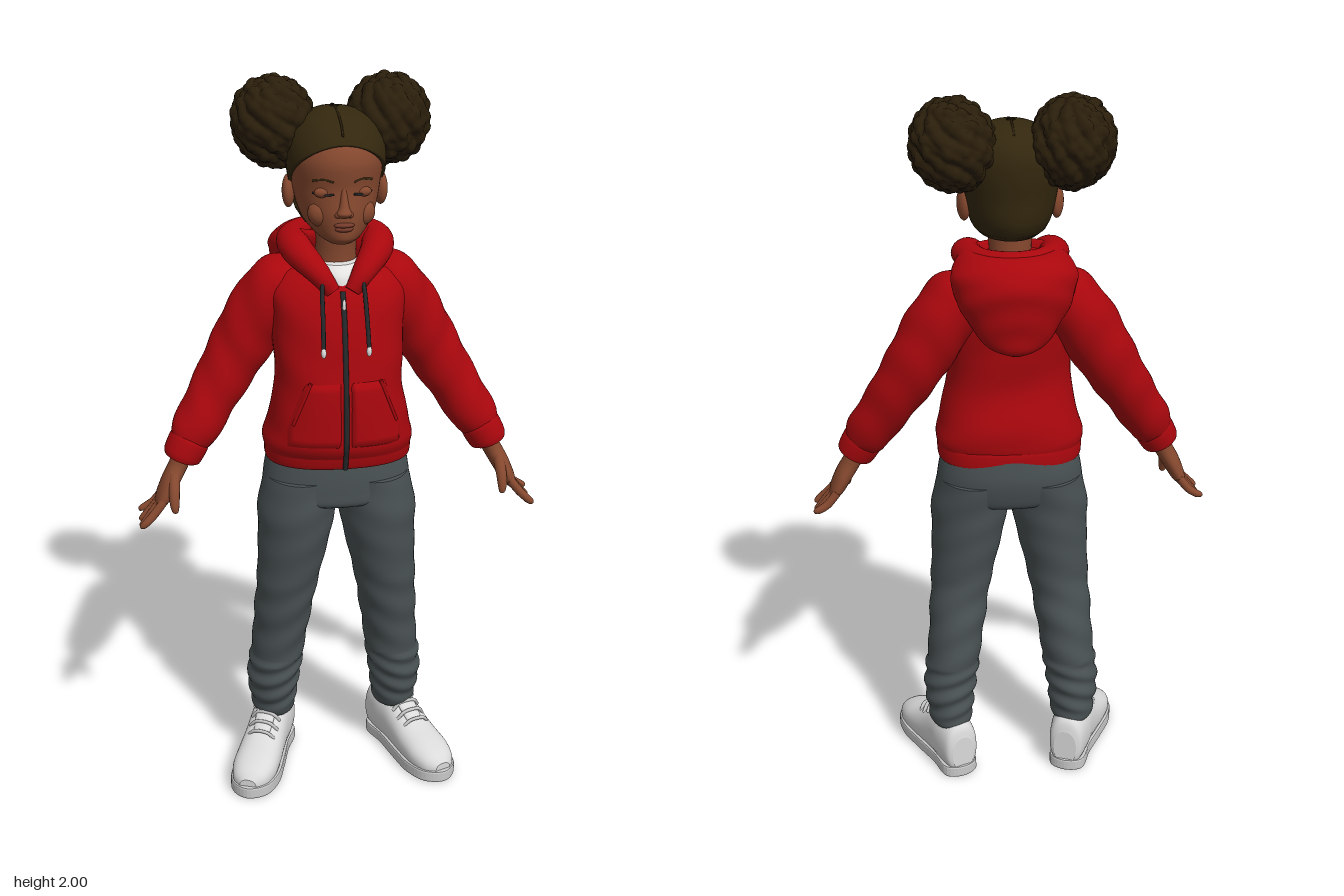
import * as THREE from 'three';

const mat = (name, color, double) => {
  const m = new THREE.MeshStandardMaterial({ color });
  m.name = name;
  if (double) m.side = THREE.DoubleSide;
  return m;
};
const M = {
  skin: mat('skin', 0x87492f), lips: mat('lips', 0x743a2b), hair: mat('hair', 0x33270e, true),
  curls: mat('curls', 0x2a1e0b), red: mat('red cloth', 0xa9070d, true), dark: mat('dark trim', 0x25282a),
  grey: mat('grey cloth', 0x4a5254), white: mat('white leather', 0xdadada), sole: mat('sole', 0xc9c9c9),
  shirt: mat('shirt', 0xe4e2e0),
};
const lerp = THREE.MathUtils.lerp;
const V = (x, y, z) => new THREE.Vector3(x, y, z);
const Y = V(0, 1, 0), Z = V(0, 0, 1);

// Smoothly interpolate rows of numbers (Catmull-Rom on every column)
function sample(rows, n) {
  const out = [], R = i => rows[Math.max(0, Math.min(rows.length - 1, i))];
  for (let i = 0; i < rows.length - 1; i++)
    for (let k = 0; k < n; k++) {
      const t = k / n, a = R(i - 1), b = R(i), c = R(i + 1), d = R(i + 2);
      out.push(b.map((q, j) => 0.5 * (2 * q + (c[j] - a[j]) * t + (2 * a[j] - 5 * q + 4 * c[j] - d[j]) * t * t
        + (3 * q - a[j] - 3 * c[j] + d[j]) * t * t * t)));
    }
  out.push(rows[rows.length - 1]);
  return out;
}
// Row at a given height of a vertical set of rows
function rowAt(dense, y) {
  let i = 0;
  while (i < dense.length - 2 && dense[i + 1][1] < y) i++;
  const a = dense[i], b = dense[i + 1];
  const t = THREE.MathUtils.clamp((y - a[1]) / (b[1] - a[1]), 0, 1);
  return a.map((q, j) => lerp(q, b[j], t));
}
// Surface through a grid of points, optionally closed around and capped
function surface(P, closed, caps) {
  const n = P.length, m = P[0].length, pos = [], idx = [];
  P.forEach(r => r.forEach(p => pos.push(p.x, p.y, p.z)));
  for (let i = 0; i < n - 1; i++)
    for (let j = 0; j < (closed ? m : m - 1); j++) {
      const k = (j + 1) % m, a = i * m + j, b = a + m, c = i * m + k, d = c + m;
      idx.push(a, b, c, c, b, d);
    }
  if (caps) [P[0], P[n - 1]].forEach((ring, end) => {
    const c = ring.reduce((s, p) => s.add(p), V(0, 0, 0)).divideScalar(m), o = pos.length / 3;
    [c, ...ring].forEach(p => pos.push(p.x, p.y, p.z));
    for (let j = 0; j < m; j++) {
      const p = o + 1 + j, q = o + 1 + (j + 1) % m;
      end ? idx.push(o, q, p) : idx.push(o, p, q);
    }
  });
  const g = new THREE.BufferGeometry();
  g.setAttribute('position', new THREE.Float32BufferAttribute(pos, 3));
  g.setIndex(idx);
  g.computeVertexNormals();
  return g;
}
// Loft through rows [x, y, z, radiusA, radiusB]; axis fixes the ring plane, bump adds folds
function loft(rows, { n = 6, seg = 32, p = 2, axis = null, ref = Z, bump = null } = {}) {
  const D = sample(rows, n), C = D.map(r => V(r[0], r[1], r[2]));
  return surface(D.map((r, i) => {
    const T = axis ? axis.clone() : C[Math.min(i + 1, C.length - 1)].clone().sub(C[Math.max(i - 1, 0)]).normalize();
    const B = ref.clone().addScaledVector(T, -T.dot(ref)).normalize(), A = T.clone().cross(B);
    return Array.from({ length: seg }, (_, j) => {
      const th = j / seg * Math.PI * 2, c = Math.cos(th), s = Math.sin(th);
      const k = bump ? 1 + bump(r, c, s) : 1, e = q => Math.sign(q) * Math.abs(q) ** (2 / p) * k;
      return C[i].clone().addScaledVector(A, r[3] * e(c)).addScaledVector(B, r[4] * e(s));
    });
  }), true, true);
}

const HEAD = sample([[0, 1.595, .09, .03, .04], [0, 1.61, .065, .056, .088], [0, 1.64, .027, .086, .13],
  [0, 1.68, .015, .104, .143], [0, 1.74, .01, .116, .143], [0, 1.8, .01, .123, .15], [0, 1.85, .003, .114, .14],
  [0, 1.89, -.005, .087, .107], [0, 1.912, -.01, .045, .055], [0, 1.919, -.01, .004, .005]], 6);
const TORSO_P = 2.4;
const TORSO_ROWS = [[0, 1.02, .04, .2, .148], [0, 1.05, .044, .205, .158], [0, 1.1, .046, .192, .158],
  [0, 1.2, .057, .172, .143], [0, 1.3, .047, .174, .138], [0, 1.4, .03, .18, .134], [0, 1.46, .015, .18, .124],
  [0, 1.5, 0, .15, .106], [0, 1.515, -.01, .1, .075]];
const TORSO = sample(TORSO_ROWS, 6);
const onEllipse = (D, x, y, p) => {
  const r = rowAt(D, y);
  return r[2] + r[4] * Math.max(0, 1 - Math.abs(x / r[3]) ** p) ** (1 / p);
};
const faceZ = (x, y) => onEllipse(HEAD, x, y, 2), chestZ = (x, y) => onEllipse(TORSO, x, y, TORSO_P);

// Ball of curls: clumps spread over a sphere
function curlBall() {
  const g = new THREE.SphereGeometry(1, 80, 56), q = g.attributes.position, N = 170, c = [];
  for (let i = 0; i < N; i++) {
    const y = 1 - 2 * (i + .5) / N, r = Math.sqrt(1 - y * y), a = i * 2.39996 + Math.sin(i * 7.3) * .15;
    c.push(V(r * Math.cos(a), y, r * Math.sin(a)));
  }
  for (let i = 0; i < q.count; i++) {
    const v = V(q.getX(i), q.getY(i), q.getZ(i));
    let best = 9, id = 0;
    c.forEach((o, k) => { const d = o.distanceTo(v); if (d < best) { best = d; id = k; } });
    v.multiplyScalar(1.01 - best * best * 2.6 + .025 * Math.sin(id * 5.1));
    q.setXYZ(i, v.x, v.y, v.z);
  }
  g.computeVertexNormals();
  return g;
}

export function createModel() {
  const root = new THREE.Group();
  root.name = 'child';
  const add = (name, geo, m, parent = root) => {
    const o = new THREE.Mesh(geo, m);
    o.name = name;
    parent.add(o);
    return o;
  };
  const ball = (name, m, pos, scale) => {
    const o = add(name, new THREE.SphereGeometry(1, 24, 16), m);
    o.position.set(...pos);
    o.scale.set(...scale);
    return o;
  };
  const cord = (name, m, pts, r, parent) => add(name, loft(pts.map(p => [...p, r, r]), { seg: 8 }), m, parent);

  // Head, neck and face
  const headRows = HEAD.filter((_, i) => i % 3 === 0);
  add('head', loft(headRows, { n: 3, seg: 48, axis: Y }), M.skin);
  add('neck', loft([[0, 1.47, -.01, .066, .066], [0, 1.55, 0, .056, .058], [0, 1.65, .01, .06, .065]], { axis: Y }), M.skin);
  add('nose', loft([[0, 1.672, .152, .014, .012], [0, 1.682, .157, .02, .018], [0, 1.7, .152, .013, .016],
    [0, 1.745, .142, .008, .012]], { axis: Y, seg: 20 }), M.skin);
  ball('upperLip', M.lips, [0, 1.652, .156], [.027, .007, .012]);
  ball('lowerLip', M.lips, [0, 1.641, .152], [.024, .008, .013]);
  ball('chin', M.skin, [0, 1.618, .128], [.036, .02, .026]);
  for (const s of [-1, 1]) {
    ball('nostril', M.skin, [s * .015, 1.678, .15], [.01, .009, .014]);
    ball('cheek', M.skin, [s * .052, 1.675, .108], [.036, .036, .03]);
    ball('eyelid', M.skin, [s * .05, 1.733, faceZ(.05, 1.733) - .008], [.024, .014, .014]);
    const arc = (y, h, off) => [.026, .05, .076].map((x, i) => [s * x, y + (i === 1 ? h : 0), faceZ(x, y) + off]);
    cord('lashes', M.dark, arc(1.731, -.003, .003), .0028);
    cord('eyebrow', M.hair, arc(1.762, .006, -.001), .0032);
    ball('ear', M.skin, [s * .122, 1.71, -.008], [.017, .045, .028]).rotation.y = s * .3;
  }

  // Smoothed-back hair following the head above the hairline
  const hairline = s => s > 0 ? 1.74 + .112 * s : Math.max(1.627, 1.74 + .45 * s);
  const hairRows = [];
  for (let i = 0; i <= 26; i++)
    hairRows.push(Array.from({ length: 72 }, (_, j) => {
      const a = j / 72 * Math.PI * 2, t = Math.max(0, i - 1) / 25, off = i ? .008 : -.008;
      const y = lerp(hairline(Math.sin(a)), 1.919, Math.sin(t * Math.PI / 2)), r = rowAt(HEAD, y);
      return V((r[3] + off) * Math.cos(a), y + off * t, r[2] + (r[4] + off) * Math.sin(a));
    }));
  add('hairCap', surface(hairRows, true, false), M.hair);
  const part = [.13, .1, .05, -.01, -.06, -.1].map(z => {
    let y = 1.919;
    while (y > 1.8 && Math.abs(z - rowAt(HEAD, y)[2]) > rowAt(HEAD, y)[4]) y -= .002;
    return [0, y + .008, z * 1.03];
  });
  cord('hairParting', M.curls, part, .003);
  const curls = curlBall();
  for (const s of [-1, 1]) {
    const bun = add('hairBun', curls, M.curls);
    bun.position.set(s * .152, 1.88, -.07);
    bun.scale.set(.113, .122, .13);
    bun.rotation.z = -s * .2;
  }

  // Hoodie body with hem, hood, pocket, zip and drawstrings
  const folds = (r, c, s) => .008 * Math.sin(r[1] * 42 + c * 4 + s * 2);
  add('hoodieBody', loft(TORSO_ROWS, { seg: 64, p: TORSO_P, axis: Y, bump: folds }), M.red);
  add('hoodieHem', loft([[0, .985, .03, .192, .14], [0, .992, .033, .2, .147], [0, 1.03, .038, .2, .15],
    [0, 1.04, .04, .19, .14]], { seg: 64, p: TORSO_P, axis: Y }), M.red);
  add('shirt', loft([[0, 1.44, .05, .06, .08], [0, 1.5, .028, .06, .092], [0, 1.528, .018, .056, .07]], { axis: Y }), M.shirt);
  add('hood', loft([[0, 1.345, -.158, .02, .02], [0, 1.365, -.155, .07, .046], [0, 1.42, -.135, .118, .076],
    [0, 1.5, -.118, .158, .104], [0, 1.555, -.1, .163, .118], [0, 1.592, -.078, .14, .108], [0, 1.605, -.065, .112, .085],
    [0, 1.585, -.055, .09, .065]], { seg: 48, axis: Y, bump: (r, c, s) => .02 * Math.sin(r[1] * 75 + 5 * c * c) * (s < 0 ? 1 : 0) }), M.red);
  const side = [[.026, 1.468, .128, .018, .022], [.06, 1.515, .108, .032, .03], [.105, 1.56, .045, .043, .04],
    [.112, 1.578, -.03, .04, .034], [.075, 1.585, -.1, .03, .028]];
  add('hoodRim', loft([...side, [0, 1.588, -.13, .028, .026],
    ...side.slice().reverse().map(([x, ...r]) => [-x, ...r])], { seg: 20, ref: Y }), M.red);
  const zip = [.99, 1.03, 1.06, 1.12, 1.2, 1.3, 1.4, 1.47].map(y => [0, y, chestZ(0, y) + (y < 1 ? -.003 : .001)]);
  add('zip', loft(zip.map(p => [...p, .007, .005]), { seg: 10 }), M.dark);
  ball('zipPull', M.shirt, [0, 1.44, chestZ(0, 1.44) + .008], [.005, .016, .004]);

  for (const s of [-1, 1]) {
    const rows = [], edge = [];
    for (let i = 0; i <= 14; i++) {
      const v = i / 14, y = lerp(1.055, 1.24, v), w = v < .3 ? .155 : lerp(.155, .105, (v - .3) / .7);
      const x0 = s > 0 ? w : -.012, x1 = s > 0 ? .012 : -w;
      rows.push(Array.from({ length: 17 }, (_, j) => {
        const x = lerp(x0, x1, j / 16), rim = i === 0 || i === 14 || j === 0 || j === 16;
        return V(x, y, chestZ(x, y) + (rim ? -.004 : .009));
      }));
      if (i > 4) edge.push([s * (w - .012), y, chestZ(w - .012, y) + .008]);
    }
    add('pocket', surface(rows, false, false), M.red);
    cord('pocketEdge', M.red, edge, .005);
    cord('drawstring', M.dark, [[s * .05, 1.515, .13], [s * .056, 1.47, .148], [s * .058, 1.4, .178], [s * .06, 1.335, .196]], .006);
    ball('drawstringTip', M.shirt, [s * .06, 1.325, .198], [.007, .014, .007]);

    // Sleeve and cuff
    const flip = r => [s * r[0], ...r.slice(1)];
    add('sleeve', loft([[.1, 1.505, -.015, .03, .045], [.135, 1.468, -.022, .08, .098], [.2, 1.38, -.03, .088, .096],
      [.265, 1.27, -.03, .081, .085], [.335, 1.155, -.008, .07, .072], [.39, 1.065, .02, .064, .066],
      [.41, 1.03, .029, .05, .054]].map(flip),
      { seg: 36, n: 8, bump: (r, c, q) => .028 * Math.sin(r[1] * 62 + c * s * 2 + q * 3) }), M.red);
    add('cuff', loft([[.4, 1.048, .026, .05, .055], [.407, 1.036, .028, .056, .06], [.427, 1.0, .035, .053, .057],
      [.431, .992, .036, .045, .05]].map(flip)), M.red);

    // Hand
    add('palm', loft([[.422, 1.01, .035, .028, .034], [.44, .97, .037, .026, .034], [.462, .93, .043, .025, .046],
      [.483, .888, .047, .021, .05], [.495, .866, .047, .014, .044]].map(flip), { seg: 24 }), M.skin);
    [[.008, -.006, .022], [.034, 0, .006], [.06, .004, 0], [.085, .012, .01]].forEach(([z, spread, up]) =>
      add('finger', loft([[.484, .885, z, .012, .013], [.51, .853, z + spread / 2, .012, .0125],
        [.53, .828 + up / 2, z + spread, .011, .0115], [.544, .81 + up, z + spread, .009, .009],
        [.547, .804 + up, z + spread, .004, .004]].map(flip), { seg: 12, n: 4 }), M.skin));
    add('thumb', loft([[.452, .95, .065, .016, .018], [.455, .915, .094, .015, .015], [.456, .885, .108, .013, .012],
      [.455, .866, .113, .009, .009], [.455, .86, .114, .004, .004]].map(flip), { seg: 12 }), M.skin);

    // Trouser leg with bunched folds at the ankle
    add('trouserLeg', loft([[.178, .15, -.037, .055, .07], [.18, .165, -.036, .063, .078], [.18, .2, -.032, .066, .082],
      [.181, .25, -.026, .073, .088], [.175, .31, -.02, .076, .09], [.163, .4, -.012, .077, .092], [.152, .5, .003, .082, .095],
      [.14, .6, .02, .087, .097], [.12, .75, .026, .102, .117], [.112, .84, .026, .109, .126], [.1, .93, .018, .1, .132]].map(flip),
      { seg: 44, n: 10, axis: Y, bump: (r, c, q) => (r[1] < .34 ? .05 : r[1] < .62 ? .025 : .01)
        * Math.sin(r[1] * (r[1] < .34 ? 110 : 60) + 2.5 * c * s + 2 * q) * Math.min(1, Math.max(0, (r[1] - .16) * 25)) }), M.grey);

    // Shoe, toes turned out
    const shoe = new THREE.Group();
    shoe.name = 'shoe';
    shoe.position.set(s * .188, 0, -.03);
    shoe.rotation.y = s * .38;
    root.add(shoe);
    const half = [[.048, -.088], [.053, 0], [.065, .1], [.07, .18], [.05, .246]];
    const outline = [[0, -.108], ...half, [0, .274], ...half.slice().reverse().map(([x, z]) => [-x, z]), [0, -.108]];
    const shape = new THREE.Shape(new THREE.CatmullRomCurve3(outline.slice(0, -1).map(([x, z]) => V(x, z, 0)), true)
      .getPoints(60).slice(0, -1).map(p => new THREE.Vector2(p.x, p.y)));
    const soleGeo = new THREE.ExtrudeGeometry(shape, { depth: .024, bevelSize: .005, bevelThickness: .006, bevelOffset: -.005, bevelSegments: 2 });
    soleGeo.rotateX(Math.PI / 2).translate(0, .03, 0);
    add('sole', soleGeo, M.sole, shoe);
    const upper = [[0, .075, -.101, .034, .055], [0, .088, -.086, .05, .08], [0, .095, -.03, .058, .087],
      [0, .09, .02, .058, .082], [0, .075, .07, .06, .07], [0, .06, .13, .064, .056], [0, .05, .19, .064, .047],
      [0, .042, .237, .05, .036], [0, .036, .262, .024, .02]];
    add('shoeUpper', loft(upper, { seg: 36, p: 2.3, axis: Z, ref: Y }), M.white, shoe);
    add('shoeTongue', loft([[0, .12, .11, .024, .01], [0, .148, .07, .028, .01], [0, .178, .03, .03, .01],
      [0, .195, .012, .026, .007]], { seg: 16, ref: Y }), M.white, shoe);
    for (let i = 0; i < 4; i++) {
      const z = .035 + i * .027, top = .176 - i * .0165;
      cord('lace', M.sole, [[-.042, top - .022, z - .008], [-.02, top + .002, z], [.02, top + .004, z + .006], [.042, top - .022, z - .004]], .005, shoe);
    }
  }

  // Trouser seat
  add('trouserSeat', loft([[0, .85, .025, .12, .1], [0, .865, .025, .195, .122], [0, .9, .02, .205, .13],
    [0, .95, .016, .2, .134], [0, 1.01, .016, .188, .13]], { seg: 56, p: 2.3, axis: Y }), M.grey);
  return root;
}
